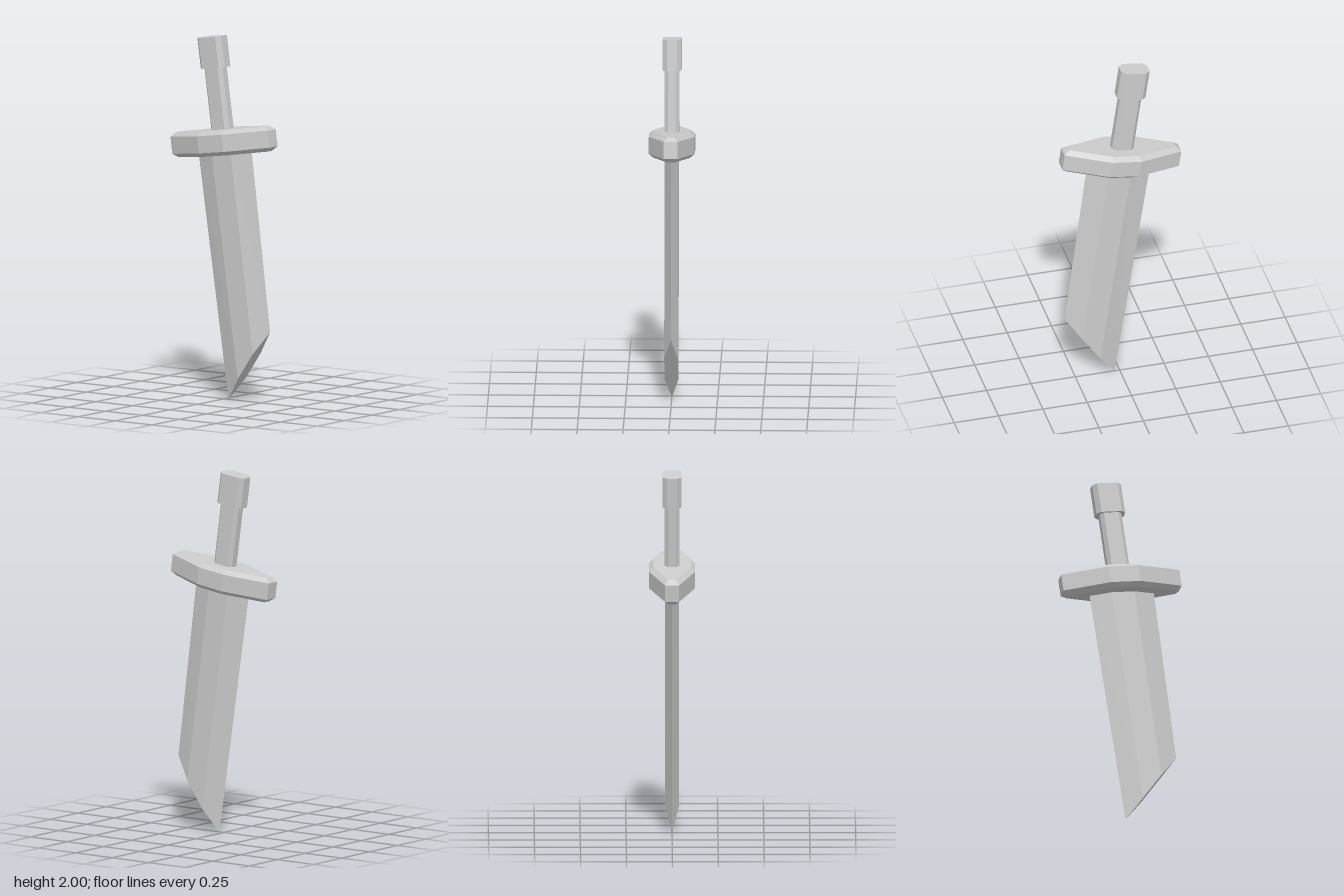
import * as THREE from 'three';

const material = new THREE.MeshStandardMaterial({ color: 0xcccccc, flatShading: true });

// Solid through convex rings of [x, y, z], lowest ring first, capped at both ends.
function loft(name, rings) {
  const n = rings[0].length, pos = [];
  const tri = (a, b, c) => pos.push(...a, ...b, ...c);
  for (let r = 0; r < rings.length - 1; r++) {
    const a = rings[r], b = rings[r + 1];
    for (let i = 0; i < n; i++) {
      const j = (i + 1) % n;
      tri(a[i], b[i], b[j]);
      tri(a[i], b[j], a[j]);
    }
  }
  const bottom = rings[0], top = rings[rings.length - 1];
  for (let i = 1; i < n - 1; i++) {
    tri(bottom[0], bottom[i], bottom[i + 1]);
    tri(top[0], top[i + 1], top[i]);
  }
  const geo = new THREE.BufferGeometry();
  geo.setAttribute('position', new THREE.Float32BufferAttribute(pos, 3));
  geo.computeVertexNormals();
  const mesh = new THREE.Mesh(geo, material);
  mesh.name = name;
  return mesh;
}

// Eight-sided ring: ends at +-x1 (half depth z1), sides at +-z2 (half length x2).
const octagon = (y, x1, z1, x2, z2) => [
  [x1, y, -z1], [x1, y, z1], [x2, y, z2], [-x2, y, z2],
  [-x1, y, z1], [-x1, y, -z1], [-x2, y, -z2], [x2, y, -z2],
];

// Six-sided blade ring with a sharp edge on each side; heights given per column.
const bladeRing = (edge, ridge, z, [yR, yr, yl, yL]) => [
  [edge, yR, 0], [ridge, yr, z], [-ridge, yl, z],
  [-edge, yL, 0], [-ridge, yl, -z], [ridge, yr, -z],
];

export function createModel() {
  const sword = new THREE.Group();
  sword.name = 'sword';

  // Blade with a slanted cut at the tip
  sword.add(loft('blade', [
    bladeRing(0.167, 0.06, 0.038, [-1.057, -1.168, -1.298, -1.408]),
    bladeRing(0.181, 0.065, 0.038, [-0.04, -0.04, -0.04, -0.04]),
  ]));

  // Bevelled cross guard
  sword.add(loft('guard', [
    octagon(-0.069, 0.304, 0.02, 0.073, 0.1),
    octagon(-0.047, 0.332, 0.038, 0.083, 0.125),
    octagon(0.047, 0.332, 0.038, 0.083, 0.125),
    octagon(0.069, 0.304, 0.02, 0.073, 0.1),
  ]));

  // Grip and pommel
  sword.add(loft('grip', [
    octagon(0.05, 0.061, 0.02, 0.042, 0.04),
    octagon(0.42, 0.061, 0.02, 0.042, 0.04),
  ]));
  sword.add(loft('pommel', [
    octagon(0.406, 0.081, 0.027, 0.057, 0.051),
    octagon(0.577, 0.081, 0.027, 0.057, 0.051),
  ]));

  // Lean the sword sideways, tip on the floor
  sword.rotation.z = THREE.MathUtils.degToRad(8);
  sword.position.set(-0.002, 1.4175, 0);

  const model = new THREE.Group();
  model.name = 'leaningSword';
  model.add(sword);
  return model;
}
